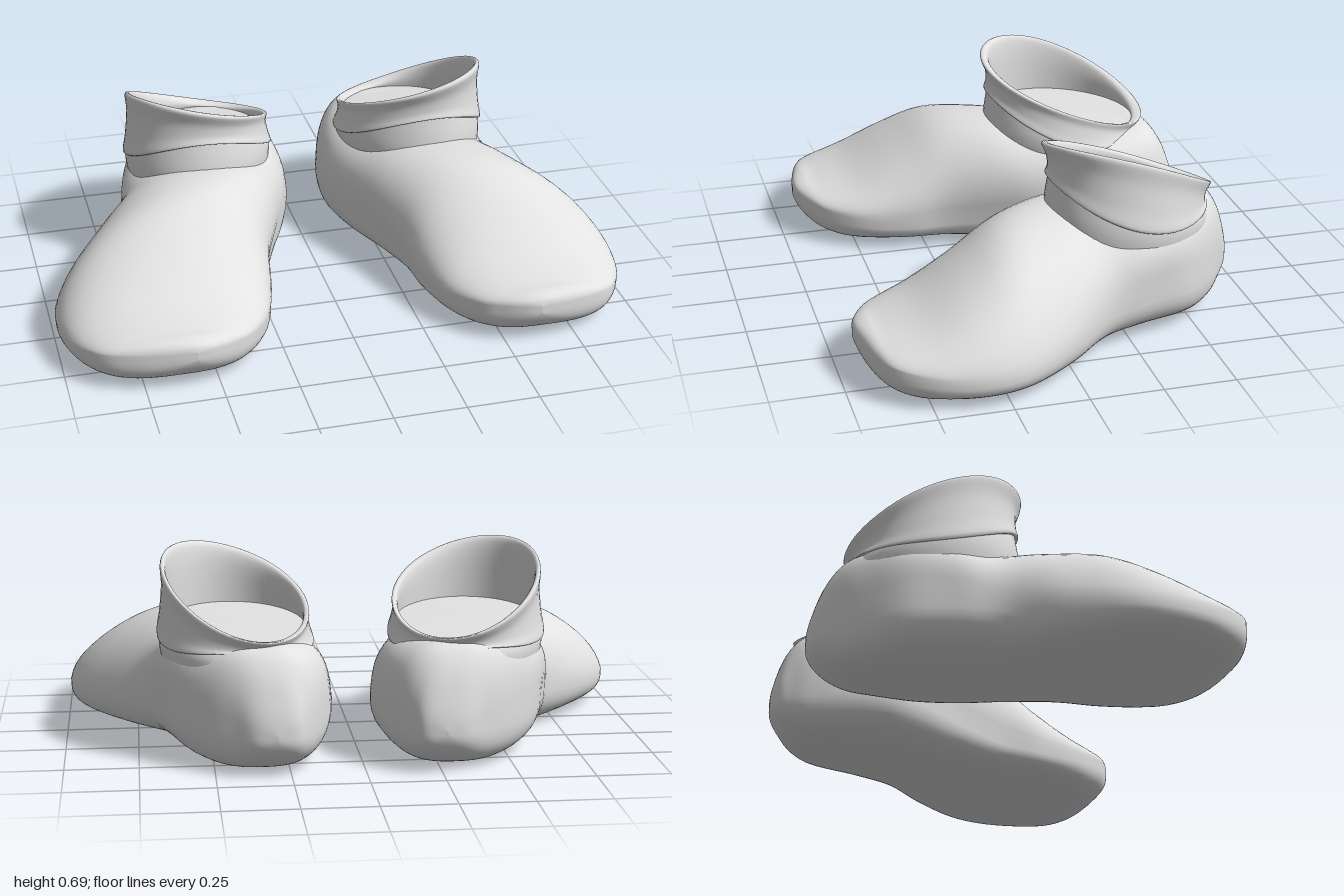
import * as THREE from 'three';

const SEG = 56;

// Foot sections from heel to toe: z, inner x, outer x, top, crest x
const FOOT = [
  [-0.70, 0.30, 0.30, 0.155, 0.30],
  [-0.687, 0.23, 0.37, 0.235, 0.30],
  [-0.645, 0.19, 0.435, 0.355, 0.32],
  [-0.58, 0.15, 0.525, 0.425, 0.34],
  [-0.46, 0.105, 0.63, 0.432, 0.38],
  [-0.30, 0.09, 0.685, 0.425, 0.41],
  [-0.15, 0.135, 0.735, 0.43, 0.42],
  [0.00, 0.205, 0.86, 0.45, 0.46],
  [0.17, 0.27, 0.965, 0.432, 0.54],
  [0.32, 0.29, 0.995, 0.345, 0.60],
  [0.48, 0.335, 0.968, 0.245, 0.63],
  [0.60, 0.415, 0.90, 0.203, 0.64],
  [0.655, 0.49, 0.81, 0.195, 0.64],
  [0.687, 0.56, 0.69, 0.18, 0.62],
  [0.697, 0.61, 0.61, 0.155, 0.61],
];

// Collar rings: half width, half length, height, rise to the outside, rise to the front, lift at both ends
const ANKLE = [
  [0.24, 0.275, 0.28, 0, 0, 0],
  [0.259, 0.290, 0.395, 0, 0.03, 0],
  [0.240, 0.268, 0.48, 0.02, 0.085, 0.01],
];
const CUFF = [
  [0.238, 0.266, 0.41, 0.005, 0.07, 0.065],
  [0.265, 0.286, 0.405, 0.005, 0.07, 0.07],
  [0.256, 0.279, 0.455, 0.02, 0.08, 0.035],
  [0.247, 0.282, 0.525, 0.045, 0.095, -0.005],
  [0.250, 0.300, 0.573, 0.063, 0.105, -0.015],
  [0.234, 0.274, 0.571, 0.063, 0.104, -0.015],
  [0.230, 0.262, 0.520, 0.04, 0.08, 0],
  [0.236, 0.264, 0.445, 0, 0.02, 0],
];
const INSOLE = [
  [0.238, 0.266, 0.448, 0, 0.02, 0],
  [0, 0, 0.453, 0, 0, 0],
];

// Catmull-Rom interpolation of every column in a table
function refine(rows, steps) {
  const at = i => rows[Math.min(rows.length - 1, Math.max(0, i))];
  const out = [];
  for (let i = 0; i < rows.length - 1; i++) {
    for (let s = 0; s < steps; s++) {
      const t = s / steps;
      out.push(rows[i].map((b, k) => {
        const a = at(i - 1)[k], c = at(i + 1)[k], d = at(i + 2)[k];
        return b + 0.5 * t * (c - a + t * (2 * a - 5 * b + 4 * c - d + t * (3 * (b - c) + d - a)));
      }));
    }
  }
  out.push(rows[rows.length - 1]);
  return out;
}

const power = (v, e) => Math.sign(v) * Math.pow(Math.abs(v), e);

// Flat sole that curls up at both ends, sides widest at 'mid', top boxier around the ankle
function footPoint([z, xi, xo, top, crest], angle) {
  const c = Math.cos(angle), s = Math.sin(angle);
  const centre = (xi + xo) / 2, half = (xo - xi) / 2;
  const mid = 0.155 - 0.04 * Math.sin(z * Math.PI / 0.7);
  const heel = Math.exp(-(((z + 0.4) / 0.3) ** 2));
  if (s < 0) {
    const end = Math.min(1, Math.max(0, Math.abs(z) - 0.5) / 0.2);
    const depth = (mid - 0.004) * Math.sqrt(1 - end * end);
    return [centre + half * power(c, 0.65 + 0.15 * heel), mid + depth * power(s, 0.6 + 0.1 * heel), z];
  }
  const e = 1 - 0.42 * heel;
  const lift = Math.pow(s, e);
  return [centre + half * power(c, e) + (crest - centre) * lift, mid + (top - mid) * lift, z];
}

// Tilted oval rings around the opening
function collarPoint([rx, rz, y, side, front, ends], angle) {
  const u = Math.cos(angle), v = -Math.sin(angle);
  return [0.415 + rx * (u + 0.08 * v), y + side * u + front * v + ends * v * v, -0.3 + rz * v];
}

// The right shoe is mirrored and its heel stands slightly closer to the middle
function place([x, y, z], right) {
  return right ? [-(x - 0.042 + 0.046 * x * x * x), y, z] : [x, y, z];
}

function loft(rows, pointAt, right) {
  const pos = [], index = [];
  rows.forEach(row => {
    for (let j = 0; j < SEG; j++) pos.push(...place(pointAt(row, j / SEG * Math.PI * 2), right));
  });
  for (let i = 0; i < rows.length - 1; i++) {
    for (let j = 0; j < SEG; j++) {
      const a = i * SEG + j, b = i * SEG + (j + 1) % SEG, c = a + SEG, d = b + SEG;
      if (right) index.push(a, c, b, b, c, d);
      else index.push(a, b, c, b, d, c);
    }
  }
  const g = new THREE.BufferGeometry();
  g.setAttribute('position', new THREE.Float32BufferAttribute(pos, 3));
  g.setIndex(index);
  g.computeVertexNormals();
  return g;
}

export function createModel() {
  const model = new THREE.Group();
  model.name = 'shoes';
  const grey = new THREE.MeshStandardMaterial({ color: 0xe2e2e2, side: THREE.DoubleSide });
  grey.name = 'light grey';

  for (const right of [false, true]) {
    const shoe = new THREE.Group();
    shoe.name = right ? 'rightShoe' : 'leftShoe';
    const add = (name, rows, pointAt, steps) => {
      const mesh = new THREE.Mesh(loft(refine(rows, steps), pointAt, right), grey);
      mesh.name = name;
      shoe.add(mesh);
    };
    add('foot', FOOT, footPoint, 5);
    add('ankle', ANKLE, collarPoint, 4);
    add('cuff', CUFF, collarPoint, 4);
    add('insole', INSOLE, collarPoint, 3);
    model.add(shoe);
  }
  return model;
}
